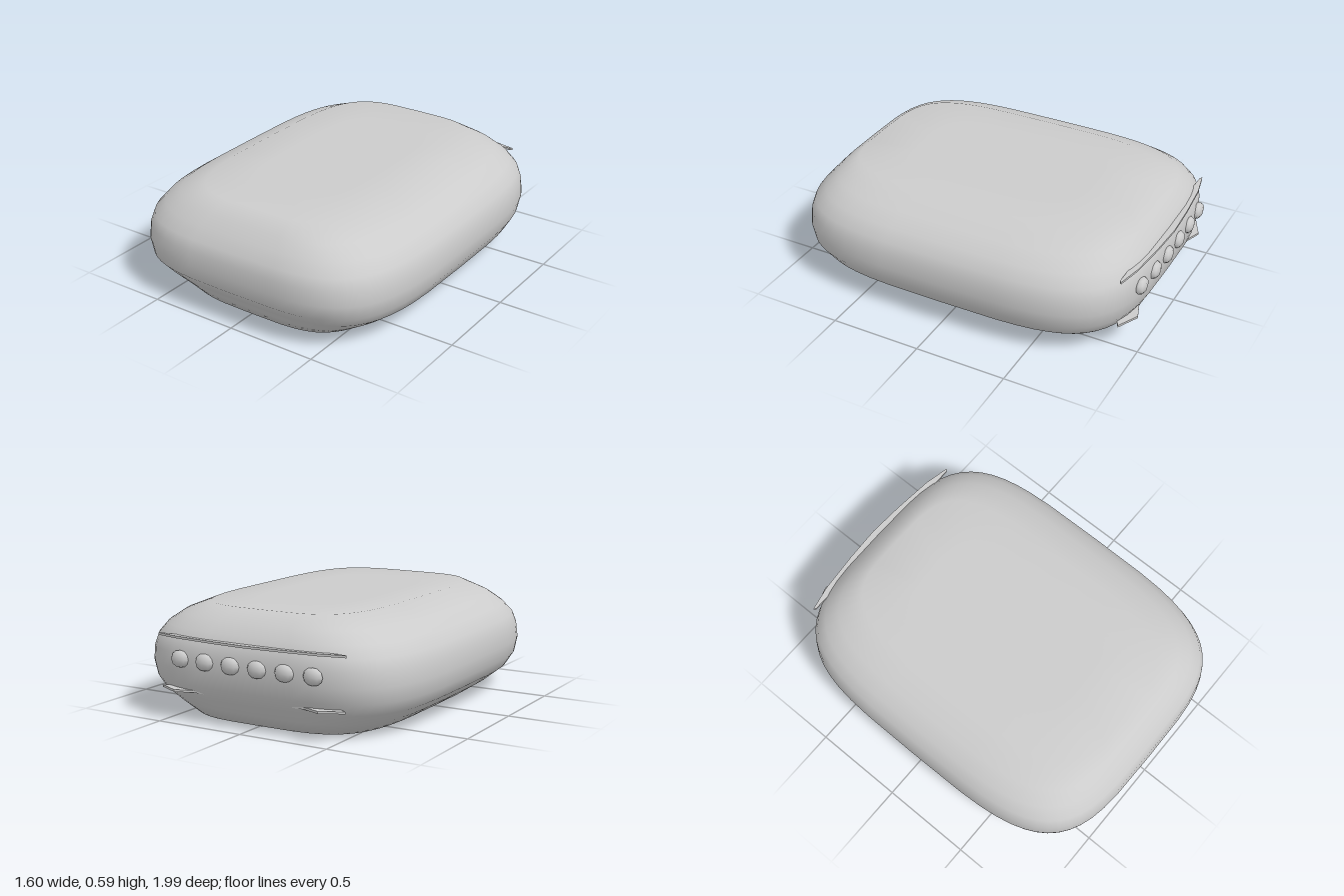
import * as THREE from 'three';

const material = new THREE.MeshStandardMaterial({ color: 0xcccccc });
const thin = new THREE.MeshStandardMaterial({ color: 0xcccccc, side: THREE.DoubleSide });

// Stacked sections: [height, half width, front reach, back reach]
const SECTIONS = [
  [0.005, 0.01, 0.01, 0.01], [0.005, 0.3, 0.5, 0.5], [0.005, 0.57, 0.83, 0.82],
  [0.07, 0.67, 0.875, 0.87], [0.135, 0.75, 0.93, 0.92], [0.2, 0.785, 0.985, 0.955],
  [0.28, 0.8, 0.995, 0.97], [0.36, 0.79, 0.99, 0.97], [0.42, 0.77, 0.97, 0.955],
  [0.48, 0.72, 0.92, 0.92], [0.535, 0.64, 0.87, 0.865], [0.595, 0.49, 0.79, 0.78],
  [0.595, 0.28, 0.5, 0.5], [0.595, 0.01, 0.01, 0.01],
];

// Pillow-like body lofted through rounded rectangular sections
function bodyGeometry(sides = 56) {
  const positions = [], index = [];
  const squash = (v) => Math.sign(v) * Math.sqrt(Math.abs(v));
  for (const [y, w, front, back] of SECTIONS) {
    for (let i = 0; i < sides; i++) {
      const a = (i / sides) * Math.PI * 2;
      const s = squash(Math.sin(a));
      positions.push(w * squash(Math.cos(a)), y, s * (s > 0 ? front : back));
    }
  }
  for (let r = 0; r < SECTIONS.length - 1; r++) {
    for (let i = 0; i < sides; i++) {
      const a = r * sides + i, b = r * sides + ((i + 1) % sides);
      index.push(a, a + sides, b, b, a + sides, b + sides);
    }
  }
  // Close the tiny holes at both poles
  const last = (SECTIONS.length - 1) * sides;
  for (let i = 1; i < sides - 1; i++) {
    index.push(0, i, i + 1, last, last + i + 1, last + i);
  }
  const geometry = new THREE.BufferGeometry();
  geometry.setAttribute('position', new THREE.Float32BufferAttribute(positions, 3));
  geometry.setIndex(index);
  geometry.computeVertexNormals();
  return geometry;
}

// Thin horizontal trim plate from a half outline of [x, z], mirrored in x
function trim(name, half, y) {
  const outline = [...half, ...half.map(([x, z]) => [-x, z]).reverse()];
  const shape = new THREE.Shape(outline.map(([x, z]) => new THREE.Vector2(x, -z)));
  const geometry = new THREE.ExtrudeGeometry(shape, { depth: 0.012, bevelEnabled: false });
  geometry.rotateX(-Math.PI / 2);
  const mesh = new THREE.Mesh(geometry, thin);
  mesh.name = name;
  mesh.position.y = y;
  return mesh;
}

export function createModel() {
  const model = new THREE.Group();
  model.name = 'cushionBody';

  const body = new THREE.Mesh(bodyGeometry(), material);
  body.name = 'body';
  model.add(body);

  // Trim above and below the row of buttons
  model.add(trim('upperTrim', [[0, -0.9], [0.55, -0.905], [0.56, -0.915], [0.42, -0.945], [0.2, -0.965], [0, -0.975]], 0.435));
  model.add(trim('lowerTrim', [[0, -0.88], [0.5, -0.88], [0.55, -0.905], [0.43, -0.965], [0.33, -0.93], [0, -0.93]], 0.16));

  // Row of small faceted buttons across the back
  const buttons = new THREE.Group();
  buttons.name = 'backButtons';
  const geometry = new THREE.SphereGeometry(1, 8, 6);
  for (let i = 0; i < 6; i++) {
    const x = -0.4 + i * 0.158;
    const button = new THREE.Mesh(geometry, material);
    button.name = 'button';
    button.scale.set(0.056, 0.045, 0.03);
    button.position.set(x, 0.335, -0.97 + 0.012 * (x / 0.4) ** 2);
    buttons.add(button);
  }
  model.add(buttons);
  return model;
}
